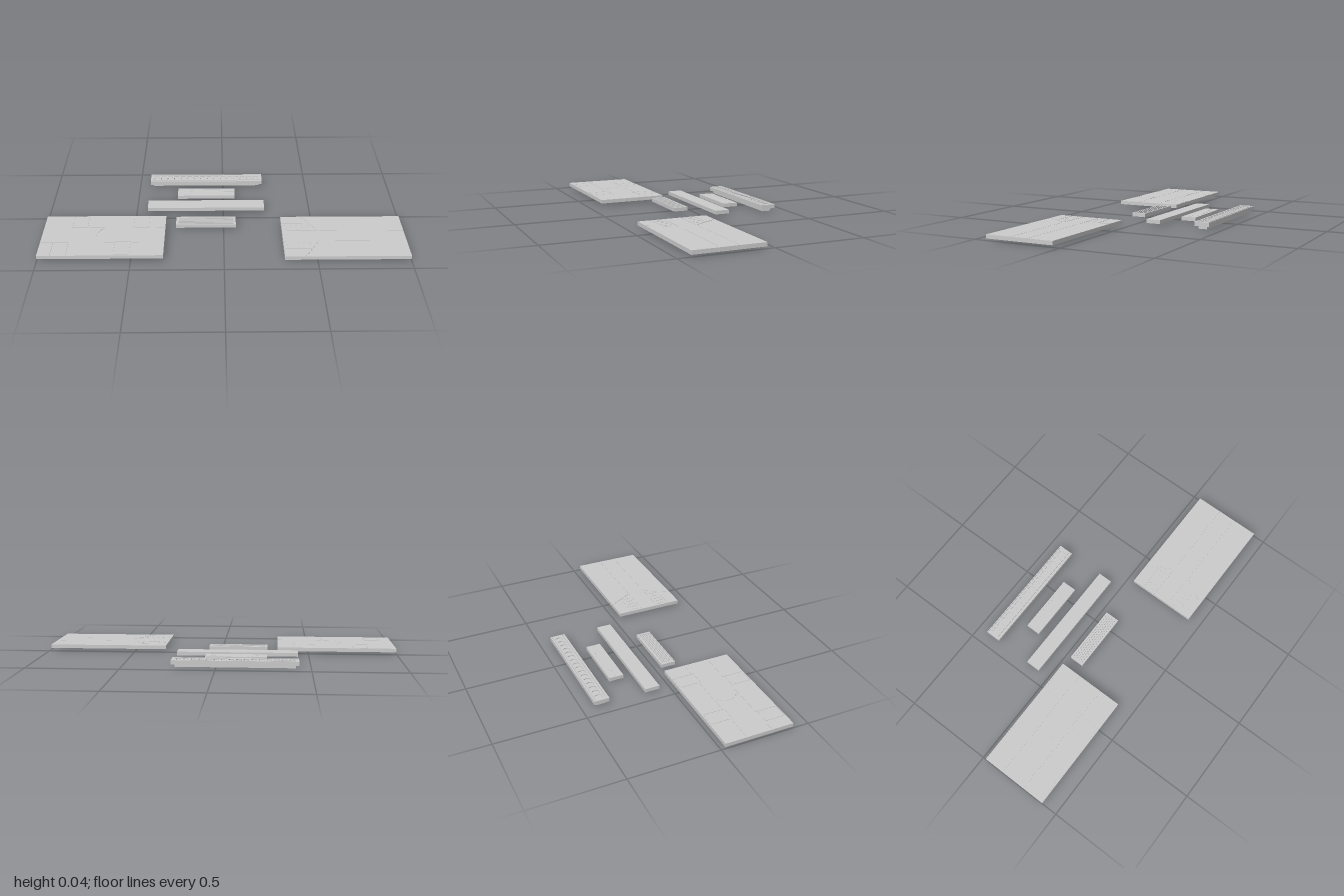
import * as THREE from 'three';

const skinMaterial = new THREE.MeshStandardMaterial({ color: 0xcccccc, side: THREE.DoubleSide });

// Closed rectangle as points in plan (x, z)
const rect = (x0, z0, x1, z1) => [[x0, z0], [x1, z0], [x1, z1], [x0, z1]];

// Thin groove outlines along a line of points, one per segment
function grooves(points, width = 0.003) {
  return points.slice(1).map((b, i) => {
    const a = points[i];
    const len = Math.hypot(b[0] - a[0], b[1] - a[1]);
    const ux = (b[0] - a[0]) / len, uz = (b[1] - a[1]) / len, h = width / 2;
    const corner = (p, along, side) => [p[0] + ux * along - uz * side, p[1] + uz * along + ux * side];
    return [corner(a, h, -h), corner(b, -h, -h), corner(b, -h, h), corner(a, h, h)];
  });
}

// Slab extruded downwards from y = top
function slab(name, outline, holes, top, depth) {
  const toPath = (pts, Type) => new Type(pts.map(([x, z]) => new THREE.Vector2(x, z)));
  const shape = toPath(outline, THREE.Shape);
  shape.holes = holes.map((h) => toPath(h, THREE.Path));
  const geometry = new THREE.ExtrudeGeometry(shape, { depth, bevelEnabled: false });
  geometry.rotateX(Math.PI / 2);
  geometry.translate(0, top, 0);
  const mesh = new THREE.Mesh(geometry, skinMaterial);
  mesh.name = name;
  return mesh;
}

// Box without its bottom face
function openBox(name, x0, z0, x1, z1, y0, y1) {
  const geometry = new THREE.BoxGeometry(x1 - x0, y1 - y0, z1 - z0);
  const index = Array.from(geometry.index.array);
  index.splice(18, 6);
  geometry.setIndex(index);
  geometry.clearGroups();
  geometry.translate((x0 + x1) / 2, (y0 + y1) / 2, (z0 + z1) / 2);
  const mesh = new THREE.Mesh(geometry, skinMaterial);
  mesh.name = name;
  return mesh;
}

// Hollow panel: engraved skin over an open box
function panel(name, [x0, z0, x1, z1], y0, y1, holes = [], depth = 0.002) {
  const group = new THREE.Group();
  group.name = name;
  group.add(openBox('shell', x0, z0, x1, z1, y0, holes.length ? y1 - depth : y1));
  if (holes.length) group.add(slab('engravedTop', rect(x0, z0, x1, z1), holes, y1, depth + 0.0003));
  return group;
}

export function createModel() {
  const model = new THREE.Group();
  const LOW = 0.01, TOP = 0.031;

  // Left plate with four hatches, seams and a bent centre line
  const hatches = [
    [-0.843, 0.027, -0.755, 0.152], [-0.503, 0.027, -0.415, 0.152],
    [-0.93, 0.28, -0.842, 0.405], [-0.592, 0.28, -0.504, 0.405],
  ];
  const seams = [
    [[-0.999, 0.141], [-0.846, 0.141]], [[-0.752, 0.141], [-0.506, 0.141]], [[-0.412, 0.141], [-0.326, 0.141]],
    [[-0.999, 0.286], [-0.933, 0.286]], [[-0.839, 0.286], [-0.595, 0.286]], [[-0.501, 0.286], [-0.326, 0.286]],
    [[-0.665, 0.145], [-0.699, 0.193], [-0.699, 0.232], [-0.665, 0.282]],
  ].flatMap((line) => grooves(line, 0.002));
  const hatchPlate = panel('hatchPlate', [-1, 0.022, -0.325, 0.41], LOW, TOP,
    [...hatches.map((h) => rect(...h)), ...seams]);
  hatches.forEach(([x0, z0, x1, z1], i) => {
    // The edge facing the centre has the wider groove
    const near = i < 2 ? 0.004 : 0.014, far = i < 2 ? 0.014 : 0.004;
    hatchPlate.add(slab('hatch', rect(x0 + 0.004, z0 + near, x1 - 0.004, z1 - far), [], TOP, 0.0023));
  });
  model.add(hatchPlate);

  // Right plate with mirrored corner steps and two long seams
  const midZ = 0.235;
  const stepLines = [];
  for (const s of [-1, 1]) {
    const z = (d) => midZ + s * d;
    stepLines.push(
      ...grooves([[0.326, z(0.05)], [0.52, z(0.05)]], 0.004),
      ...grooves([[0.528, z(0.05)], [0.999, z(0.05)]], 0.002),
      ...grooves([[0.326, z(0.123)], [0.471, z(0.123)]], 0.004),
      ...grooves([[0.438, z(0.192)], [0.518, z(0.056)]], 0.005),
    );
    for (let i = 0; i < 5; i++) {
      const x = 0.34 + i * 0.032;
      stepLines.push(...grooves([[x, z(0.063)], [x, z(0.112)]], 0.006));
    }
  }
  model.add(panel('stepPlate', [0.323, 0.04, 0.998, 0.43], LOW, TOP, stepLines));

  // Plain long strip
  model.add(panel('plainStrip', [-0.437, -0.145, 0.237, -0.062], LOW, TOP));

  // Short strip with a raised-shoulder line
  model.add(panel('shoulderStrip', [-0.267, -0.28, 0.069, -0.197], LOW, TOP, grooves([
    [-0.266, -0.24], [-0.205, -0.24], [-0.178, -0.264], [-0.02, -0.264], [0.008, -0.24], [0.068, -0.24],
  ], 0.002), 0.001));

  // Short strip with louvre slots
  const slots = [];
  for (let i = 0; i < 6; i++) {
    const z = 0.044 + i * 0.0115;
    slots.push(rect(-0.253, z, 0.057, z + 0.0075));
  }
  model.add(panel('louvreStrip', [-0.267, 0.033, 0.069, 0.115], LOW, TOP, slots, 0.005));

  // Long grating with a row of cells and two rails, on a narrower foot
  const cells = [rect(-0.428, -0.43, 0.228, -0.424), rect(-0.428, -0.368, 0.228, -0.362)];
  for (let i = 0; i < 16; i++) {
    const x = -0.418 + i * 0.04;
    cells.push([[x, -0.415], [x + 0.027, -0.415], [x + 0.034, -0.396],
      [x + 0.027, -0.378], [x, -0.378], [x + 0.006, -0.396]]);
  }
  model.add(panel('grating', [-0.437, -0.435, 0.237, -0.35], 0.017, 0.039, cells, 0.005));
  model.add(openBox('gratingFoot', -0.42, -0.416, 0.22, -0.367, 0, 0.032));

  return model;
}
